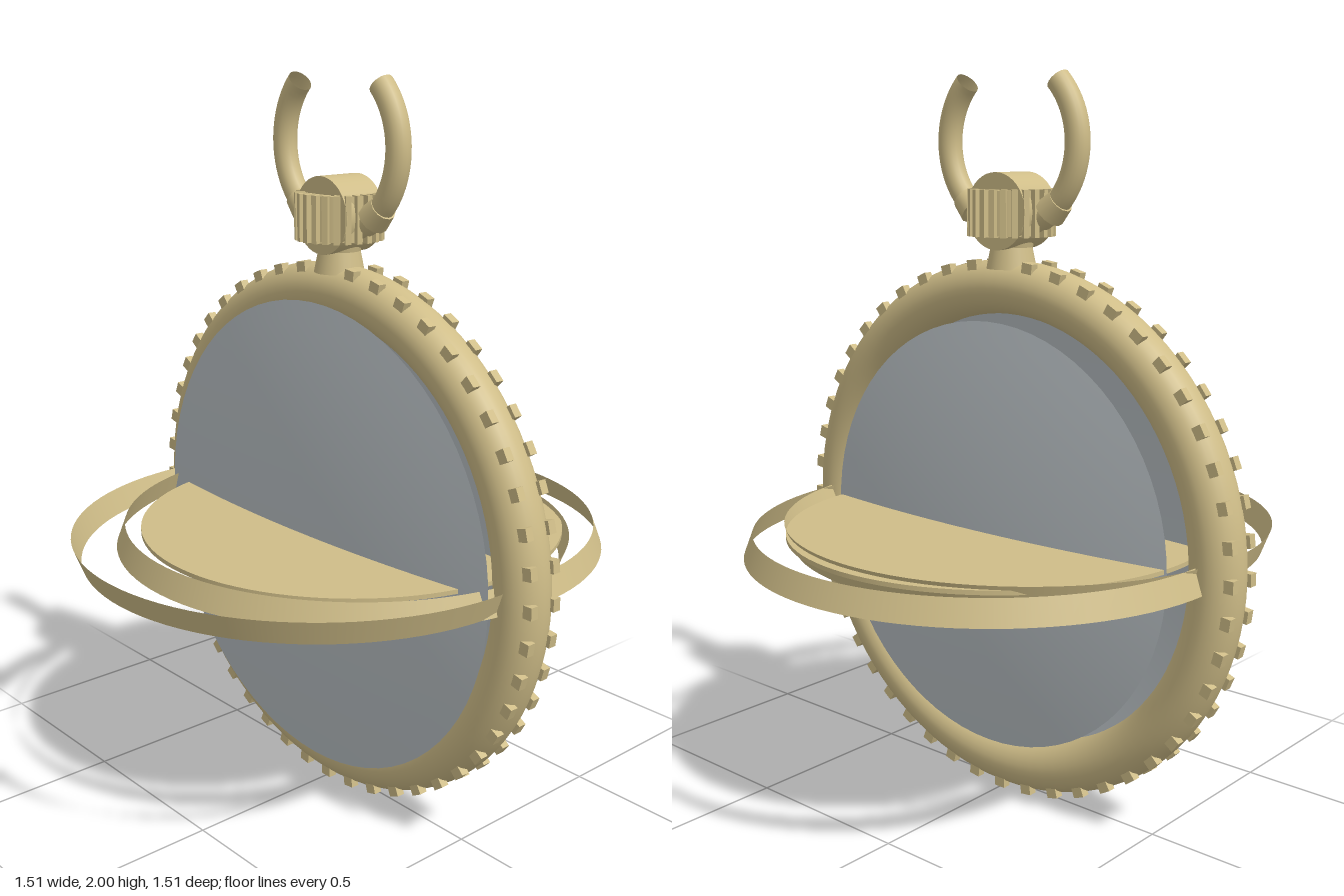
import * as THREE from 'three';

export function createModel() {
  const model = new THREE.Group();
  const brass = new THREE.MeshStandardMaterial({ color: 0xcfbd88, side: THREE.DoubleSide });
  brass.name = 'brass';
  const glass = new THREE.MeshStandardMaterial({ color: 0xb9c0c4, side: THREE.DoubleSide });
  glass.name = 'glass';
  const CY = 0.76; // height of the case centre

  function add(name, geometry, material, x = 0, y = 0, z = 0, parent = model) {
    const mesh = new THREE.Mesh(geometry, material);
    mesh.name = name;
    mesh.position.set(x, y, z);
    parent.add(mesh);
    return mesh;
  }

  // Round case
  add('caseRing', new THREE.TorusGeometry(0.68, 0.073, 28, 96), brass, 0, CY, 0);

  // Two rows of small studs around the rim
  const studs = new THREE.Group();
  studs.name = 'rimStuds';
  studs.position.y = CY;
  model.add(studs);
  const studGeo = new THREE.BoxGeometry(0.04, 0.034, 0.024);
  for (let i = 0; i < 48; i++) {
    const a = (i / 48) * Math.PI * 2;
    for (const z of [-0.041, 0.041]) {
      const stud = add('stud', studGeo, brass, Math.cos(a) * 0.737, Math.sin(a) * 0.737, z, studs);
      stud.rotation.z = a;
    }
  }

  // Shallow domed crystals floating in front of and behind the case
  function dome(name, radius, height, side) {
    const profile = [];
    for (let i = 0; i <= 12; i++) {
      const t = 1 - i / 12;
      profile.push(new THREE.Vector2(radius * t, height * (1 - t * t)));
    }
    const mesh = add(name, new THREE.LatheGeometry(profile, 72), glass, 0, CY, side * 0.1);
    mesh.rotation.x = side * Math.PI / 2;
  }
  dome('frontCrystal', 0.66, 0.045, 1);
  dome('backCrystal', 0.595, 0.04, -1);

  // Flat horizontal plate and the two tapered horizontal bands
  add('plate', new THREE.CylinderGeometry(0.59, 0.59, 0.012, 96), brass, 0, 0.779, -0.045);
  add('frontBand', new THREE.CylinderGeometry(0.682, 0.657, 0.066, 96, 1, true), brass, 0, 0.763, 0.07);
  add('backBand', new THREE.CylinderGeometry(0.657, 0.682, 0.066, 96, 1, true), brass, 0, 0.763, -0.073);

  // Hands hidden behind the rear crystal
  add('longHand', new THREE.BoxGeometry(0.02, 0.4, 0.008), brass, 0, 0.56, -0.088);
  add('shortHand', new THREE.BoxGeometry(0.3, 0.02, 0.008), brass, 0.15, CY, -0.082);

  // Neck with a collar
  add('neck', new THREE.CylinderGeometry(0.05, 0.068, 0.09, 24), brass, 0, 1.535, 0);
  add('neckCollar', new THREE.CylinderGeometry(0.064, 0.058, 0.025, 24), brass, 0, 1.56, 0);

  // Ribbed winding crown
  const crown = new THREE.Group();
  crown.name = 'crown';
  crown.position.y = 1.639;
  model.add(crown);
  add('crownBody', new THREE.CylinderGeometry(0.102, 0.102, 0.118, 40), brass, 0, 0, 0, crown);
  const ribGeo = new THREE.BoxGeometry(0.03, 0.124, 0.015);
  for (let i = 0; i < 24; i++) {
    const a = (i / 24) * Math.PI * 2;
    const rib = add('rib', ribGeo, brass, Math.cos(a) * 0.104, 0, -Math.sin(a) * 0.104, crown);
    rib.rotation.y = a;
  }

  // Drum lying front to back through the crown
  const drum = add('pendantDrum', new THREE.CylinderGeometry(0.102, 0.102, 0.13, 40), brass, 0, 1.643, 0);
  drum.rotation.x = Math.PI / 2;

  // Open bow with a gap at the top, and its two collars
  const bow = add('bow', new THREE.TorusGeometry(0.222, 0.033, 18, 64, Math.PI * 1.5), brass, 0, 1.821, 0);
  bow.rotation.z = Math.PI * 0.75;
  for (const s of [-1, 1]) {
    const collar = add('bowCollar', new THREE.CylinderGeometry(0.036, 0.044, 0.05, 12), brass, s * 0.15, 1.657, 0);
    collar.rotation.z = -s * 0.85;
  }

  return model;
}
